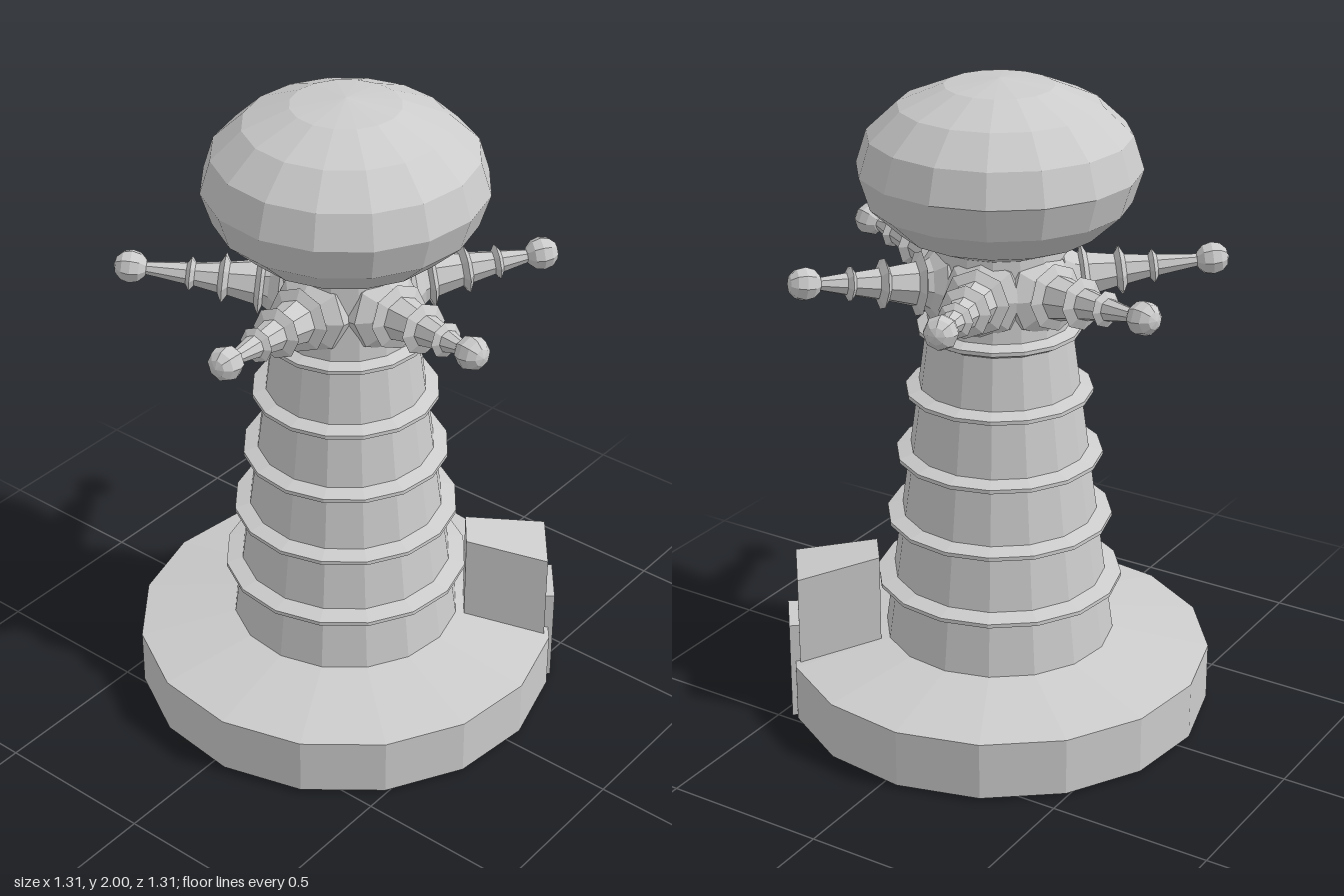
import * as THREE from 'three';

const material = new THREE.MeshStandardMaterial({ color: 0xcccccc, flatShading: true, side: THREE.DoubleSide });
const SIDES = 16;
const TURN = 0.077; // slight twist shared by all round body parts

function lathe(name, profile, sides, start = 0) {
  const points = profile.map(([r, y]) => new THREE.Vector2(r, y));
  const mesh = new THREE.Mesh(new THREE.LatheGeometry(points, sides, start), material);
  mesh.name = name;
  return mesh;
}

// Open-bottomed base and hollow column, one continuous shell with ridged bands
function makeBody() {
  const columnRadius = (y) => 0.355 - (y - 0.245) * 0.136;
  const profile = [[0.655, 0.01], [0.655, 0.19], [0.355, 0.245]];
  const bands = [[0.43, 0.378], [0.635, 0.346], [0.84, 0.315], [1.045, 0.284], [1.245, 0.248]];
  for (const [y, r] of bands) {
    profile.push([columnRadius(y - 0.02), y - 0.02], [r, y - 0.006], [r, y + 0.006], [columnRadius(y + 0.02), y + 0.02]);
  }
  profile.push([0.195, 1.56]);
  return lathe('baseAndColumn', profile, SIDES, TURN);
}

// Flattened dome on top
function makeHead() {
  const geometry = new THREE.SphereGeometry(0.42, SIDES, 8);
  geometry.scale(1, 0.262 / 0.42, 1);
  const head = new THREE.Mesh(geometry, material);
  head.name = 'head';
  head.position.y = 1.738;
  head.rotation.y = TURN;
  return head;
}

// Collared spoke ending in a ball; built along +y, then laid outwards
function makeArm(angle, reach) {
  const arm = new THREE.Group();
  arm.name = 'arm';
  const tilt = 0.11;
  const spoke = lathe('spoke', [
    [0.125, 0.16], [0.12, 0.195], [0.08, 0.225],
    [0.07, 0.24], [0.1, 0.25], [0.068, 0.265],
    [0.052, 0.345], [0.078, 0.36], [0.048, 0.375],
    [0.036, 0.445], [0.054, 0.458], [0.034, 0.47],
    [0.019, reach - 0.04],
  ], 8);
  const ball = new THREE.Mesh(new THREE.SphereGeometry(0.051, 8, 6), material);
  ball.name = 'ball';
  ball.position.y = reach;
  arm.add(spoke, ball);
  arm.rotation.order = 'YXZ';
  arm.rotation.set(Math.PI / 2 - tilt, angle, 0);
  arm.position.y = 1.44 - Math.sin(tilt) * reach;
  return arm;
}

// Tapered porch with a sloping roof, and a door slab at its outer face
function makeEntrance() {
  const entrance = new THREE.Group();
  entrance.name = 'entrance';
  const geometry = new THREE.BoxGeometry(1, 1, 1);
  const p = geometry.attributes.position;
  for (let i = 0; i < p.count; i++) {
    const outer = p.getZ(i) > 0;
    const top = p.getY(i) > 0;
    p.setXYZ(i,
      Math.sign(p.getX(i)) * (outer ? 0.107 : 0.066),
      top ? (outer ? 0.475 : 0.52) : 0.19,
      outer ? 0.628 : 0.375);
  }
  geometry.computeVertexNormals();
  const porch = new THREE.Mesh(geometry, material);
  porch.name = 'porch';
  const door = new THREE.Mesh(new THREE.BoxGeometry(0.165, 0.315, 0.06), material);
  door.name = 'door';
  door.position.set(0.012, 0.1575, 0.628);
  entrance.add(porch, door);
  entrance.rotation.y = 0.66;
  return entrance;
}

export function createModel() {
  const model = new THREE.Group();
  model.name = 'tower';
  model.add(makeBody(), makeHead(), makeEntrance());
  // Direction in degrees from the front, and reach of each ball
  const arms = [[50, 0.593], [106.3, 0.589], [163.3, 0.61], [215.7, 0.634], [275.7, 0.603], [346.8, 0.57]];
  for (const [degrees, reach] of arms) {
    model.add(makeArm(THREE.MathUtils.degToRad(degrees), reach));
  }
  return model;
}
